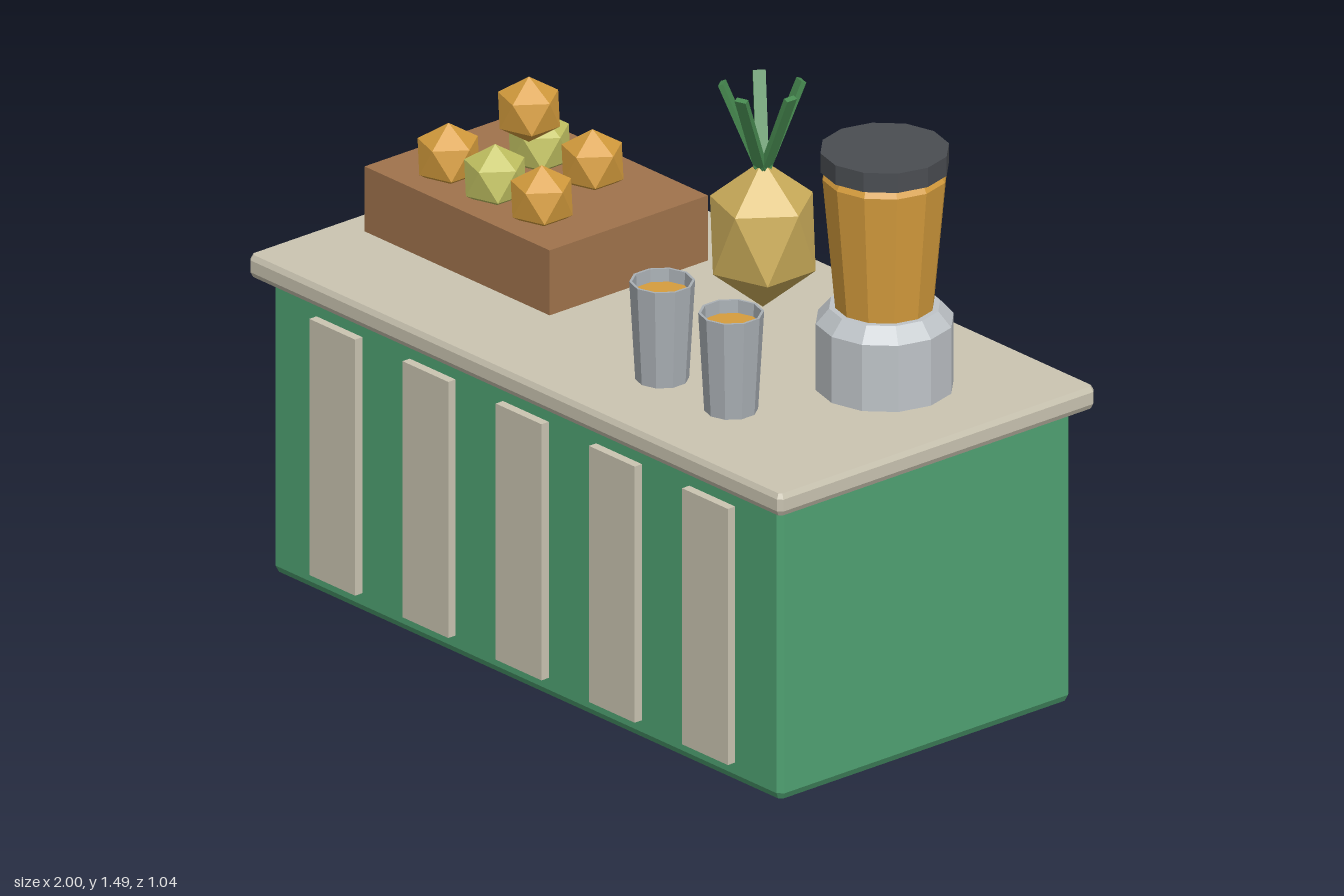
import * as THREE from 'three';

const mat = (name, color) => {
  const m = new THREE.MeshStandardMaterial({ color });
  m.name = name;
  return m;
};

export function createModel() {
  const root = new THREE.Group();
  root.name = 'juiceStand';
  const M = {
    green: mat('counterGreen', 0x50a373),
    cream: mat('cream', 0xcbc5b2),
    wood: mat('crateWood', 0xa0734c),
    orange: mat('orange', 0xd69d3d),
    lime: mat('lime', 0xc2c262),
    pine: mat('pineappleYellow', 0xcfb05c),
    leaf: mat('leafGreen', 0x478a50),
    metal: mat('metal', 0xbfc4c8),
    cup: mat('cupGrey', 0xaab0b5),
    dark: mat('lidDark', 0x4a4d52),
  };

  const add = (name, geo, material, x = 0, y = 0, z = 0, parent = root) => {
    let g = geo.index ? geo.toNonIndexed() : geo;
    g.computeVertexNormals(); // faceted
    const mesh = new THREE.Mesh(g, material);
    mesh.name = name;
    mesh.position.set(x, y, z);
    parent.add(mesh);
    return mesh;
  };

  // Box with chamfered edges, centred on its origin
  const bevelBox = (w, h, d, b) => {
    const x = w / 2 - b, z = d / 2 - b, c = b * 0.5;
    const s = new THREE.Shape();
    [[-x, -z - b + c], [x, -z - b + c], [x + c, -z], [x + c, z], [x, z + b - c],
      [-x, z + b - c], [-x - c, z], [-x - c, -z]].forEach(([px, pz], i) =>
      i ? s.lineTo(px, pz) : s.moveTo(px, pz));
    const g = new THREE.ExtrudeGeometry(s, {
      depth: h - 2 * b, bevelEnabled: true, bevelThickness: b, bevelSize: b - c, bevelSegments: 1,
    });
    return g.translate(0, 0, -h / 2 + b).rotateX(-Math.PI / 2);
  };

  // Faceted ball with a corner straight up
  const ball = (r, stretch = 1) => new THREE.IcosahedronGeometry(r, 0)
    .rotateZ(-Math.atan(2 / (1 + Math.sqrt(5)))).scale(1, stretch, 1);

  const lathe = (pts, sides) =>
    new THREE.LatheGeometry(pts.map(([r, y]) => new THREE.Vector2(r, y)), sides);

  // Counter
  add('counterBody', bevelBox(1.91, 0.79, 0.96, 0.018), M.green, 0, 0.395, 0);
  add('countertop', bevelBox(2, 0.06, 1.04, 0.014), M.cream, 0, 0.82, 0);
  for (let i = -2; i <= 2; i++) {
    add('frontStripe', new THREE.BoxGeometry(0.172, 0.69, 0.03), M.cream, i * 0.35, 0.395, 0.489);
  }

  // Fruit crate
  add('crate', new THREE.BoxGeometry(0.695, 0.175, 0.52), M.wood, -0.567, 0.9375, -0.05);
  [[-0.742, 1.075, 0.085, 0], [-0.567, 1.075, 0.085, 1], [-0.392, 1.075, 0.085, 0],
    [-0.652, 1.075, -0.135, 1], [-0.478, 1.075, -0.157, 0], [-0.567, 1.225, -0.026, 0],
  ].forEach(([x, y, z, isLime]) =>
    add(isLime ? 'limeFruit' : 'orangeFruit', ball(0.088), isLime ? M.lime : M.orange, x, y, z));

  // Pineapple with a crown of five leaning leaves
  const pineapple = new THREE.Group();
  pineapple.name = 'pineapple';
  pineapple.position.set(0.085, 1.047, -0.224);
  root.add(pineapple);
  add('pineappleBody', ball(0.15, 1.32), M.pine, 0, 0, 0, pineapple);
  for (let i = 0; i < 5; i++) {
    const g = new THREE.BoxGeometry(0.014, 0.27, 0.032)
      .rotateZ(-0.41).translate(0.05, 0.272, 0).rotateY(i * Math.PI * 0.4);
    add('crownLeaf', g, M.leaf, 0, 0, 0, pineapple);
  }

  // Cups filled with juice
  for (const x of [0.257, 0.516]) {
    add('cup', lathe([[0, 0], [0.067, 0], [0.082, 0.263], [0.075, 0.263], [0.073, 0.22]], 10),
      M.cup, x, 0.85, 0.257);
    add('cupJuice', new THREE.CircleGeometry(0.0735, 10).rotateX(-Math.PI / 2).rotateY(Math.PI / 2),
      M.orange, x, 1.079, 0.257);
  }

  // Blender
  const blender = new THREE.Group();
  blender.name = 'blender';
  blender.position.set(0.65, 0.85, -0.13);
  root.add(blender);
  add('blenderBase', lathe([[0, 0], [0.174, 0], [0.174, 0.178], [0.14, 0.217], [0, 0.217]], 12),
    M.metal, 0, 0, 0, blender);
  add('blenderJar', lathe([[0, 0.21], [0.124, 0.21], [0.157, 0.565], [0.145, 0.586], [0, 0.586]], 12),
    M.orange, 0, 0, 0, blender);
  add('blenderLid', lathe([[0, 0.585], [0.162, 0.585], [0.162, 0.637], [0, 0.637]], 12),
    M.dark, 0, 0, 0, blender);

  return root;
}
